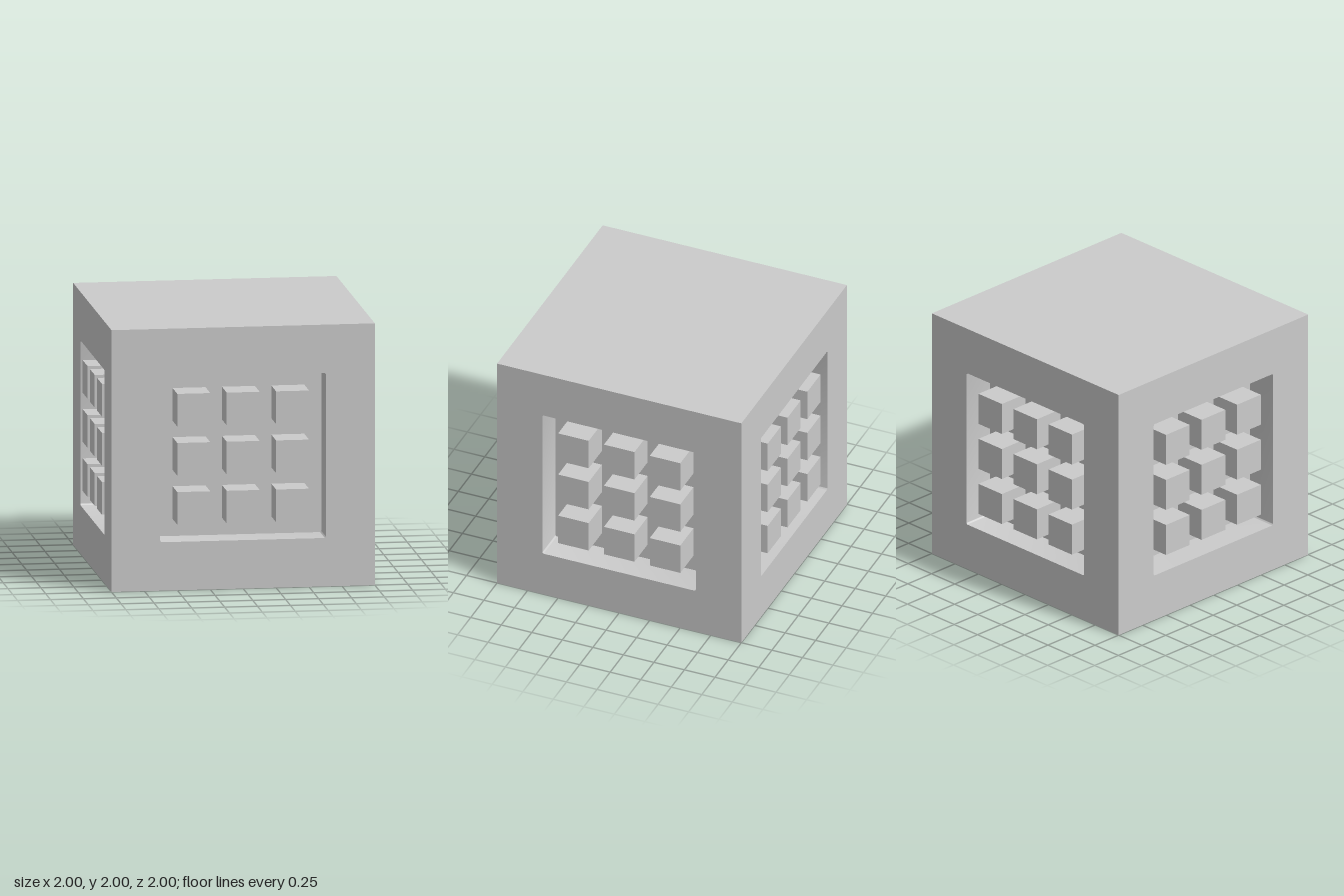
import * as THREE from 'three';
import { toCreasedNormals } from 'three/addons/utils/BufferGeometryUtils.js';

const HALF = 1;        // half size of the cube
const WINDOW = 0.63;   // half size of the recess
const DEPTH = 0.25;    // recess depth
const STUD = 0.25;     // stud size
const PITCH = 0.375;   // stud spacing
const CORNER = 0.015;  // corner radius of the recess

const material = new THREE.MeshStandardMaterial({ color: 0xcccccc });

function addMesh(parent, name, geometry, x = 0, y = 0, z = 0) {
  const mesh = new THREE.Mesh(geometry, material);
  mesh.name = name;
  mesh.position.set(x, y, z);
  parent.add(mesh);
  return mesh;
}

// Square outline with slightly rounded corners, counter-clockwise
function windowPoints() {
  const s = new THREE.Shape();
  const c = WINDOW - CORNER;
  [[c, c], [-c, c], [-c, -c], [c, -c]].forEach(([x, y], i) => {
    s.absarc(x, y, CORNER, i * Math.PI / 2, (i + 1) * Math.PI / 2, false);
  });
  s.closePath();
  return s.getPoints(4);
}

// Inward-facing walls that run from the outline back to the recess floor
function recessWalls(points) {
  const v = [];
  points.forEach((a, i) => {
    const b = points[(i + 1) % points.length];
    if (a.distanceTo(b) < 1e-6) return;
    v.push(a.x, a.y, 0, b.x, b.y, 0, a.x, a.y, -DEPTH);
    v.push(b.x, b.y, 0, b.x, b.y, -DEPTH, a.x, a.y, -DEPTH);
  });
  const g = new THREE.BufferGeometry();
  g.setAttribute('position', new THREE.Float32BufferAttribute(v, 3));
  g.computeVertexNormals();
  return toCreasedNormals(g, Math.PI / 5);
}

// One upright side: framed face, recess and a 3 x 3 grid of flush studs
function createSide() {
  const side = new THREE.Group();
  const points = windowPoints();

  const face = new THREE.Shape([
    new THREE.Vector2(-HALF, -HALF), new THREE.Vector2(HALF, -HALF),
    new THREE.Vector2(HALF, HALF), new THREE.Vector2(-HALF, HALF),
  ]);
  face.holes.push(new THREE.Path(points));

  addMesh(side, 'faceFrame', new THREE.ShapeGeometry(face), 0, 0, HALF);
  addMesh(side, 'recessWalls', recessWalls(points), 0, 0, HALF);
  addMesh(side, 'recessFloor', new THREE.ShapeGeometry(new THREE.Shape(points)), 0, 0, HALF - DEPTH);

  const stud = new THREE.BoxGeometry(STUD, STUD, DEPTH);
  for (let row = -1; row <= 1; row++) {
    for (let col = -1; col <= 1; col++) {
      addMesh(side, 'stud', stud, col * PITCH, row * PITCH, HALF - DEPTH / 2);
    }
  }
  return side;
}

export function createModel() {
  const model = new THREE.Group();
  model.name = 'studdedCube';

  // Four identical upright sides
  ['frontSide', 'leftSide', 'backSide', 'rightSide'].forEach((name, i) => {
    const side = createSide();
    side.name = name;
    side.position.y = HALF;
    side.rotation.y = i * Math.PI / 2;
    model.add(side);
  });

  // Plain top and bottom
  const cap = new THREE.PlaneGeometry(2 * HALF, 2 * HALF);
  addMesh(model, 'topFace', cap, 0, 2 * HALF, 0).rotation.x = -Math.PI / 2;
  addMesh(model, 'bottomFace', cap).rotation.x = Math.PI / 2;

  return model;
}
